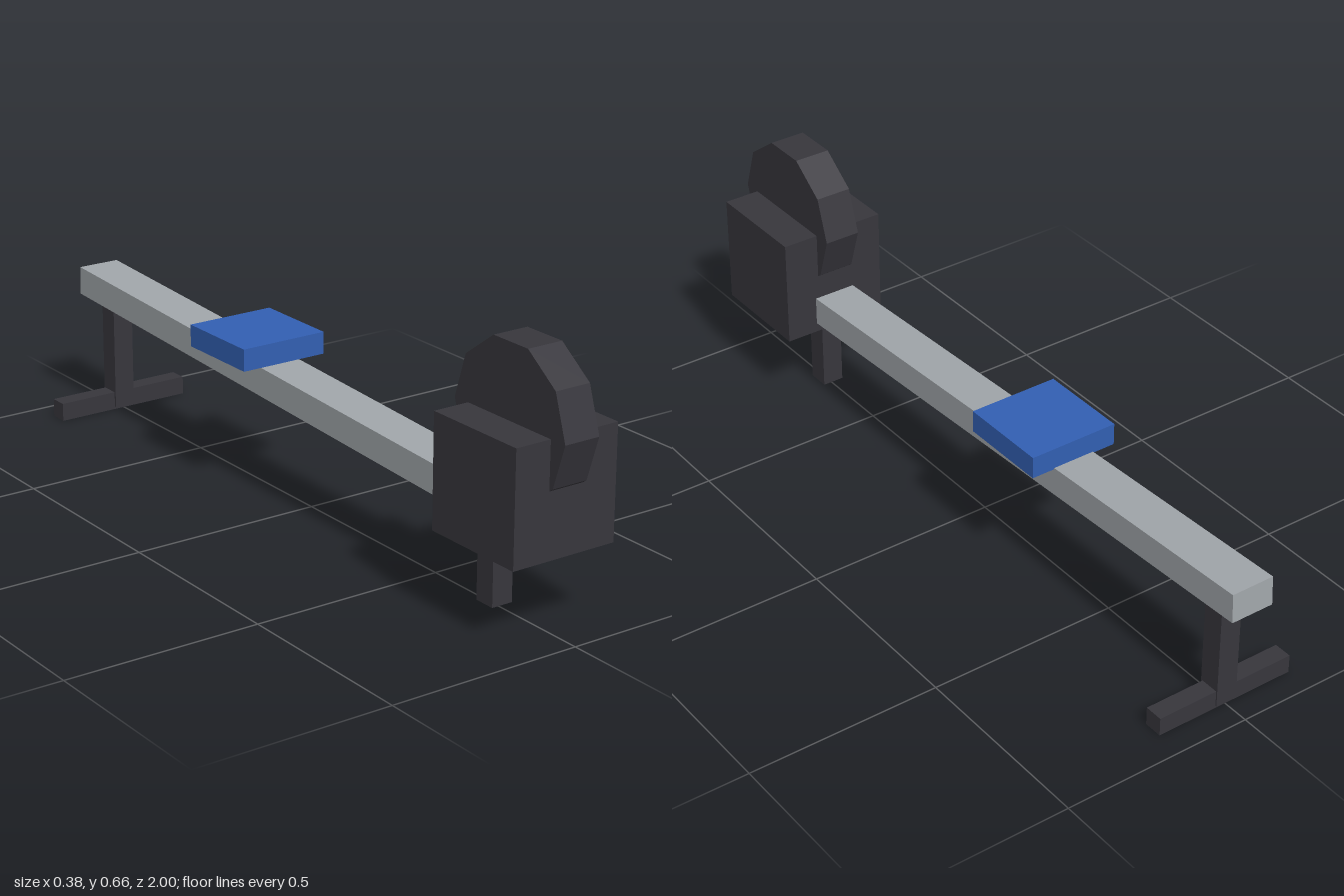
import * as THREE from 'three';

const dark = new THREE.MeshStandardMaterial({ name: 'charcoal', color: 0x37363c, flatShading: true });
const metal = new THREE.MeshStandardMaterial({ name: 'light grey metal', color: 0xa0a5a9, flatShading: true });
const blue = new THREE.MeshStandardMaterial({ name: 'seat blue', color: 0x325fb2, flatShading: true });

export function createModel() {
  const group = new THREE.Group();

  function add(name, geometry, material, x, y, z) {
    const mesh = new THREE.Mesh(geometry, material);
    mesh.name = name;
    mesh.position.set(x, y, z);
    group.add(mesh);
    return mesh;
  }
  // Upright box given by its width, depth, bottom and top heights, and z centre
  function box(name, material, width, depth, bottom, top, z) {
    return add(name, new THREE.BoxGeometry(width, top - bottom, depth), material, 0, (bottom + top) / 2, z);
  }

  // Flywheel housing with a ten-sided wheel rising out of it
  box('housing', dark, 0.285, 0.285, 0.197, 0.481, 0.81);
  const wheel = new THREE.CylinderGeometry(0.19, 0.19, 0.095, 10);
  wheel.rotateZ(Math.PI / 2);
  add('flywheel', wheel, dark, 0, 0.481, 0.81);

  // Sloping rail, higher at the rear
  const rail = add('rail', new THREE.BoxGeometry(0.114, 0.075, 1.9), metal, 0, 0.294, -0.049);
  rail.rotation.x = 0.0486;

  // Sliding seat
  box('seat', blue, 0.238, 0.238, 0.343, 0.4, -0.235);

  // Legs and the rear cross foot
  box('frontLeg', dark, 0.057, 0.057, 0.007, 0.26, 0.717);
  box('rearLeg', dark, 0.057, 0.057, 0.007, 0.31, -0.904);
  box('rearFoot', dark, 0.38, 0.048, 0, 0.048, -0.905);

  return group;
}
